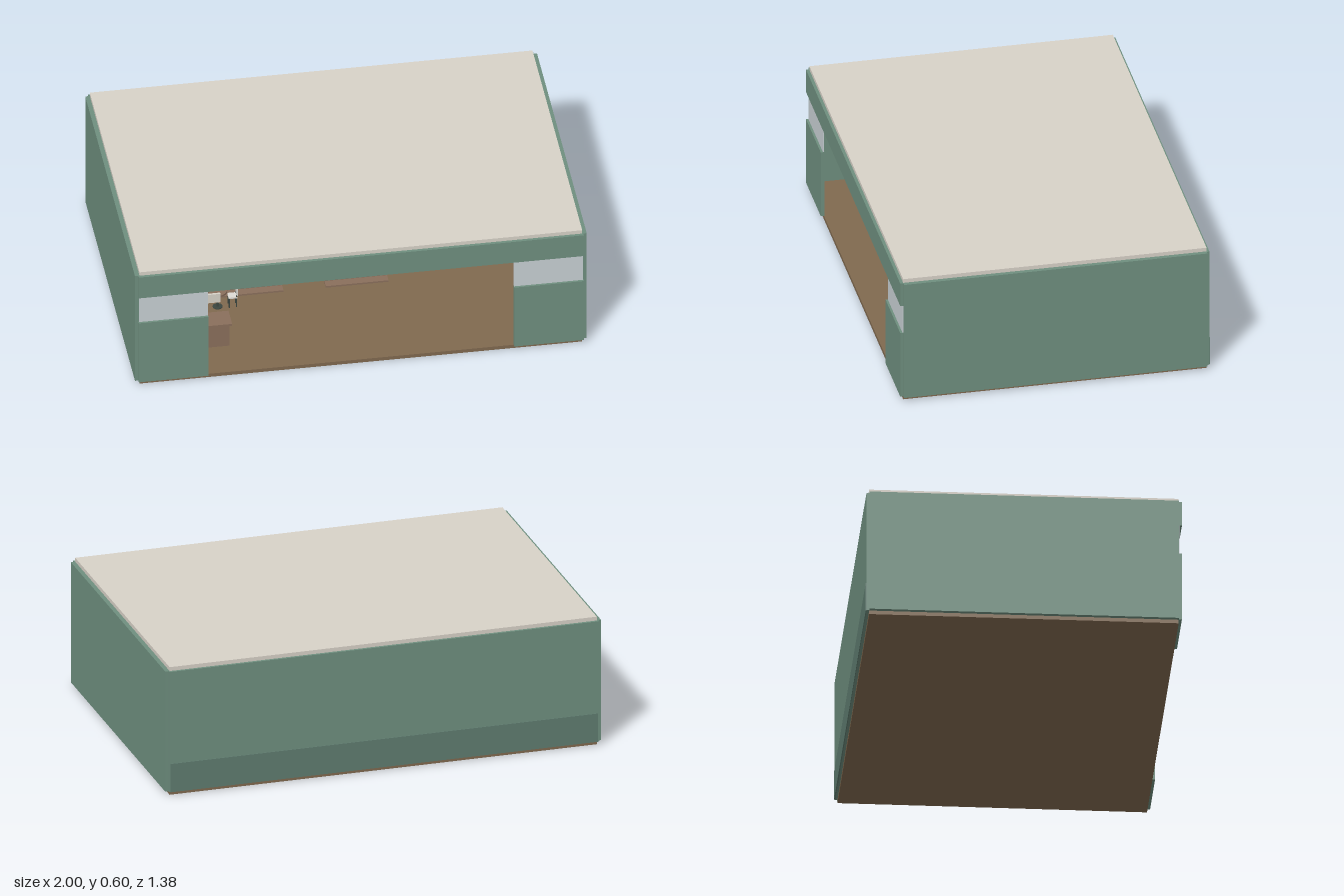
import * as THREE from 'three';

const mat = (color) => new THREE.MeshStandardMaterial({ color });
const GREEN = mat(0x6f8f7f), DARK_GREEN = mat(0x5f7c70), CREAM = mat(0xd8d2c8), GLASS = mat(0xc8d0d4);
const WOOD = mat(0x8a6f5c), FLOOR = mat(0x80694f), WHITE = mat(0xdedbd4), METAL = mat(0x3c4640);
const SHADE = new THREE.MeshStandardMaterial({ color: 0x4c6c60, side: THREE.DoubleSide });

// box given by its min and max on each axis
function box(parent, name, m, x0, x1, y0, y1, z0, z1) {
  const mesh = new THREE.Mesh(new THREE.BoxGeometry(x1 - x0, y1 - y0, z1 - z0), m);
  mesh.position.set((x0 + x1) / 2, (y0 + y1) / 2, (z0 + z1) / 2);
  mesh.name = name;
  parent.add(mesh);
  return mesh;
}

function cylinder(parent, name, m, r, x, y0, y1, z, sides = 16) {
  const mesh = new THREE.Mesh(new THREE.CylinderGeometry(r, r, y1 - y0, sides), m);
  mesh.position.set(x, (y0 + y1) / 2, z);
  mesh.name = name;
  parent.add(mesh);
}

function group(parent, name, x = 0, y = 0, z = 0) {
  const g = new THREE.Group();
  g.name = name;
  g.position.set(x, y, z);
  parent.add(g);
  return g;
}

// bookcase standing against the back wall, open to the front
function bookcase(parent, x0, x1, y0, y1, shelves, bays) {
  const g = group(parent, 'bookcase'), back = -0.664, front = -0.6, t = 0.008;
  box(g, 'bookcaseBack', WOOD, x0, x1, y0, y1, back, back + t);
  for (let i = 0; i <= shelves; i++) {
    const y = y0 + (y1 - y0 - t) * i / shelves;
    box(g, 'bookcaseShelf', WOOD, x0, x1, y, y + t, back, front);
  }
  for (let i = 0; i <= bays; i++) {
    const x = x0 + (x1 - x0 - t) * i / bays;
    box(g, 'bookcaseUpright', WOOD, x, x + t, y0, y1, back, front + 0.002);
  }
}

// low display unit with tiers on both sides of a centre panel
function displayUnit(parent, x, z) {
  const g = group(parent, 'displayShelf', x, 0.015, z), w = 0.135;
  box(g, 'displayPanel', WOOD, -w, w, 0, 0.155, -0.006, 0.006);
  for (const y of [0.015, 0.06, 0.105, 0.15]) {
    box(g, 'displayTier', WOOD, -w - 0.004, w + 0.004, y, y + 0.008, -0.045, 0.045);
  }
}

function chair(parent, x, z, angle) {
  const g = group(parent, 'chair', x, 0.015, z), s = 0.019;
  g.rotation.y = angle;
  box(g, 'chairSeat', WHITE, -s, s, 0.05, 0.057, -s, s);
  box(g, 'chairBack', WHITE, -s, s, 0.062, 0.115, -s - 0.004, -s + 0.002);
  for (const i of [-1, 1]) for (const k of [-1, 1]) {
    box(g, 'chairLeg', METAL, i * 0.016 - 0.002, i * 0.016 + 0.002, 0, k < 0 ? 0.064 : 0.05, k * 0.016 - 0.002, k * 0.016 + 0.002);
  }
}

function cafeTable(parent, x, z) {
  const g = group(parent, 'cafeTableSet', x, 0, z);
  cylinder(g, 'tableTop', WOOD, 0.042, 0, 0.098, 0.106, 0, 24);
  cylinder(g, 'tableStem', METAL, 0.005, 0, 0.015, 0.098, 0);
  cylinder(g, 'tableFoot', METAL, 0.022, 0, 0.015, 0.02, 0);
  for (const side of [-1, 1]) chair(g, side * 0.065, 0, -side * Math.PI / 2);
}

function pendantLamp(parent, x, z) {
  const g = group(parent, 'pendantLamp', x, 0, z);
  cylinder(g, 'lampCord', METAL, 0.002, 0, 0.445, 0.58, 0, 8);
  const profile = [[0.005, 0.448], [0.012, 0.442], [0.026, 0.425], [0.032, 0.41]].map(p => new THREE.Vector2(...p));
  const shade = new THREE.Mesh(new THREE.LatheGeometry(profile, 24), SHADE);
  shade.name = 'lampShade';
  g.add(shade);
}

export function createModel() {
  const root = new THREE.Group();
  root.name = 'bookshop';

  // shell
  const shell = group(root, 'shell');
  box(shell, 'floor', FLOOR, -0.98, 0.98, 0, 0.017, -0.678, 0.678);
  box(shell, 'ceiling', CREAM, -0.98, 0.98, 0.58, 0.6, -0.678, 0.678);
  box(shell, 'backWall', GREEN, -0.985, 0.985, 0.017, 0.582, -0.69, -0.672);
  box(shell, 'wainscot', DARK_GREEN, -0.98, 0.98, 0.017, 0.15, -0.693, -0.668);
  box(shell, 'frontHeader', GREEN, -0.985, 0.985, 0.47, 0.582, 0.675, 0.692);
  for (const s of [-1, 1]) {
    const span = (a, b) => s > 0 ? [a, b] : [-b, -a];
    box(shell, 'sideWall', GREEN, ...span(0.98, 1), 0.017, 0.582, -0.678, 0.678);
    box(shell, 'frontPanel', GREEN, ...span(0.677, 0.985), 0.017, 0.335, 0.675, 0.692);
    box(shell, 'window', GLASS, ...span(0.677, 0.982), 0.335, 0.47, 0.677, 0.682);
  }

  // mezzanine with posts and railing
  const mezz = group(root, 'mezzanine'), edge = -0.3;
  box(mezz, 'mezzanineFloor', WOOD, -0.98, 0.98, 0.322, 0.345, -0.672, edge);
  for (const x of [-0.805, -0.435, -0.065, 0.305, 0.675]) {
    box(mezz, 'post', WOOD, x - 0.012, x + 0.012, 0.017, 0.322, edge - 0.03, edge - 0.006);
  }
  for (let i = 0; i <= 26; i++) {
    const x = -0.97 + i * 1.94 / 26;
    if (x < 0.33 || x > 0.49) box(mezz, 'baluster', METAL, x - 0.003, x + 0.003, 0.345, 0.47, edge - 0.012, edge - 0.006);
  }
  box(mezz, 'handrail', WOOD, -0.98, 0.33, 0.468, 0.478, edge - 0.015, edge - 0.003);
  box(mezz, 'handrail', WOOD, 0.49, 0.98, 0.468, 0.478, edge - 0.015, edge - 0.003);
  box(mezz, 'signBoard', CREAM, -0.17, 0.165, 0.365, 0.432, edge, edge + 0.012);

  // open stairs up to the mezzanine
  const stairs = group(root, 'stairs');
  for (let i = 0; i < 9; i++) {
    const y = 0.03 + i * 0.034, z = -0.09 - i * 0.024;
    box(stairs, 'tread', WOOD, 0.335, 0.49, y, y + 0.009, z - 0.03, z);
  }

  // bookcases on both levels
  bookcase(root, -0.96, -0.58, 0.017, 0.3, 6, 3);
  bookcase(root, -0.57, -0.2, 0.017, 0.3, 6, 3);
  bookcase(root, 0.49, 0.96, 0.017, 0.3, 6, 4);
  bookcase(root, -0.96, -0.46, 0.345, 0.53, 4, 5);
  bookcase(root, -0.45, 0.06, 0.345, 0.53, 4, 5);

  // display units on the shop floor
  for (const x of [-0.395, 0.07]) displayUnit(root, x, 0.1);

  // reading desk on the right
  const desk = group(root, 'readingDesk', 0.57, 0, -0.4);
  box(desk, 'deskTop', WOOD, -0.09, 0.09, 0.098, 0.107, -0.05, 0.05);
  for (const x of [-0.08, 0.08]) for (const z of [-0.04, 0.04]) {
    box(desk, 'deskLeg', WOOD, x - 0.004, x + 0.004, 0.017, 0.098, z - 0.004, z + 0.004);
  }

  // cafe corner: counter, menu board, tables and chairs
  const cafe = group(root, 'cafe');
  box(cafe, 'counter', WOOD, -0.93, -0.55, 0.017, 0.13, 0.405, 0.485);
  box(cafe, 'counterTop', WOOD, -0.94, -0.54, 0.13, 0.14, 0.395, 0.495);
  box(cafe, 'menuBoard', CREAM, -0.9, -0.6, 0.3, 0.345, 0.535, 0.545);
  for (const x of [-0.79, -0.555]) cafeTable(cafe, x, 0.19);

  // pendant lamps
  for (const x of [-0.56, 0.55]) pendantLamp(root, x, 0.15);

  return root;
}
